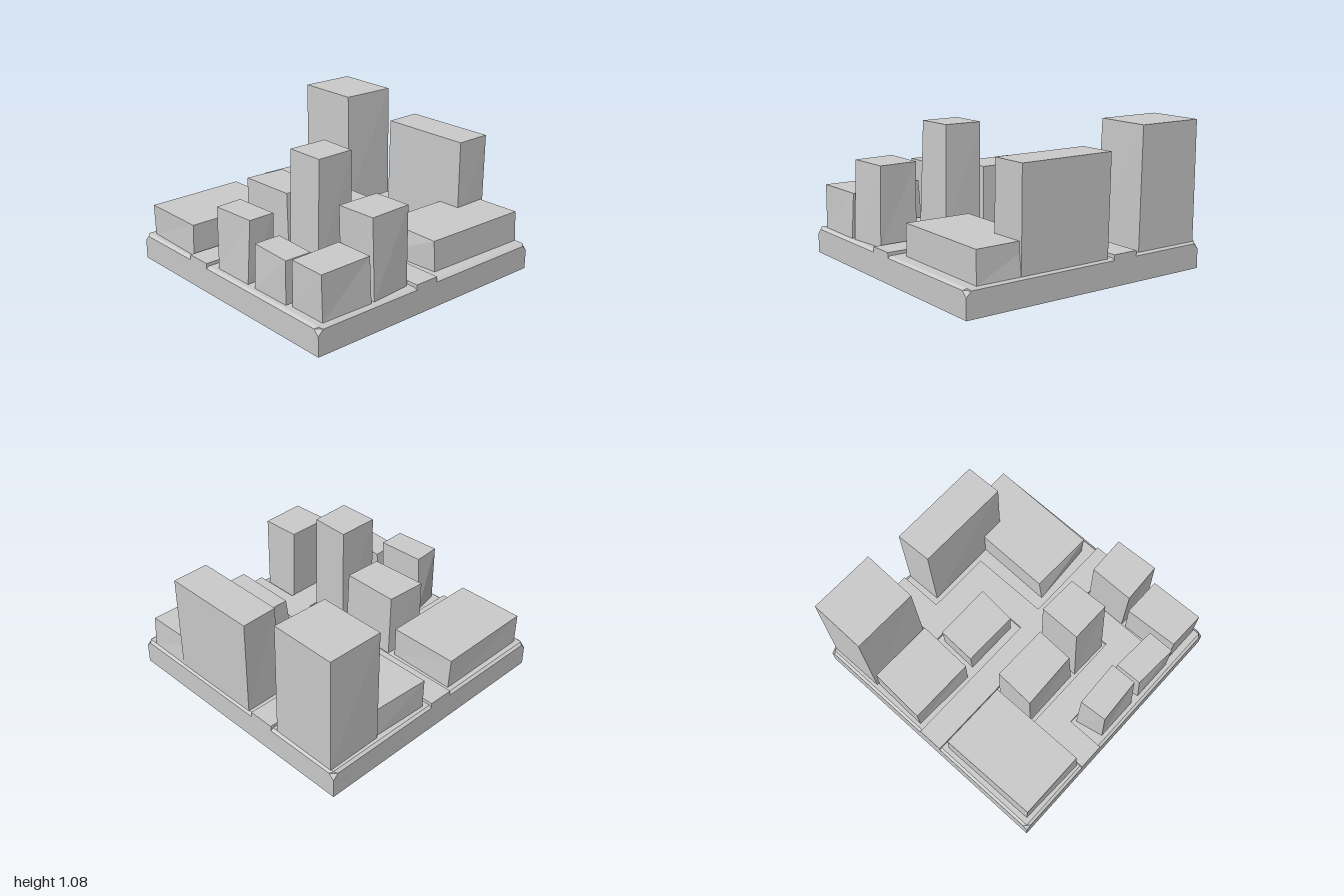
import * as THREE from 'three';

const WALL = 0.185, GROUND = 0.2, ROAD = 0.225; // heights
const INSET = 0.02, CUT = 0.04;                 // rim chamfer, corner cut
const material = new THREE.MeshStandardMaterial({ color: 0xcccccc, flatShading: true, side: THREE.DoubleSide });

// Flat-sided surface from convex polygons given as lists of [x, y, z]
function facets(polygons) {
  const positions = [];
  for (const p of polygons)
    for (let i = 1; i < p.length - 1; i++) positions.push(...p[0], ...p[i], ...p[i + 1]);
  const g = new THREE.BufferGeometry();
  g.setAttribute('position', new THREE.Float32BufferAttribute(positions, 3));
  g.computeVertexNormals();
  return g;
}

// Horizontal surface from an [x, z] outline
function level(outline, y) {
  const shape = new THREE.Shape(outline.map(([x, z]) => new THREE.Vector2(x, -z)));
  return new THREE.ShapeGeometry(shape).rotateX(-Math.PI / 2).translate(0, y, 0);
}

function add(parent, name, geometry) {
  const mesh = new THREE.Mesh(geometry, material);
  mesh.name = name;
  parent.add(mesh);
  return mesh;
}

// Crooked block: roof and foot corners are x, z pairs in the order
// back left, back right, front right, front left as seen from the front
function building(parent, name, height, roof, foot) {
  const g = new THREE.BoxGeometry(1, 1, 1);
  const p = g.attributes.position;
  for (let i = 0; i < p.count; i++) {
    const right = p.getX(i) > 0, front = p.getZ(i) > 0, top = p.getY(i) > 0;
    const corner = front ? (right ? 2 : 3) : (right ? 1 : 0);
    const quad = top ? roof : foot;
    p.setXYZ(i, quad[corner * 2], top ? height : GROUND, quad[corner * 2 + 1]);
  }
  // the foot stays open
  const index = Array.from(g.index.array);
  index.splice(18, 6);
  g.setIndex(index);
  const flat = g.toNonIndexed();
  flat.computeVertexNormals();
  add(parent, name, flat);
}

export function createModel() {
  const model = new THREE.Group();
  model.name = 'cityTile';

  // Outer walls of the hollow base, with cut upper corners
  const base = new THREE.Group();
  base.name = 'base';
  model.add(base);
  const a = 1 - CUT, b = 1 - INSET, low = WALL - CUT;
  for (let i = 0; i < 4; i++) {
    const wall = add(base, 'outerWall', facets([
      [[-1, 0, 1], [1, 0, 1], [1, low, 1], [a, WALL, 1], [-a, WALL, 1], [-1, low, 1]],
    ]));
    const corner = add(base, 'cutCorner', facets([
      [[1, low, 1], [1, WALL, a], [a, WALL, 1]],
      [[a, WALL, 1], [1, WALL, a], [b, GROUND, b]],
    ]));
    wall.rotation.y = corner.rotation.y = i * Math.PI / 2;
  }

  // Lowered plots between the roads, with a chamfer along the tile rim
  const plots = {
    backRightPlot: [[-1, -1], [-0.14, -1], [-0.14, 0.435], [-0.515, 0.435], [-0.515, -0.4], [-1, -0.4]],
    backLeftPlot: [[0.055, -1], [1, -1], [1, -0.4], [0.46, -0.4], [0.46, 0.1], [0.055, 0.1]],
    frontLeftPlot: [[0.66, -0.2], [1, -0.2], [1, 1], [0.055, 1], [0.055, 0.3], [0.66, 0.3]],
    frontRightPlot: [[-1, -0.2], [-0.715, -0.2], [-0.715, 0.635], [-0.14, 0.635], [-0.14, 1], [-1, 1]],
  };
  const clampTo = (limit, v) => Math.max(-limit, Math.min(limit, v));
  for (const [name, outline] of Object.entries(plots)) {
    const inner = outline.map(([x, z]) => [clampTo(b, x), clampTo(b, z)]);
    add(base, name, level(inner, GROUND));
    const strips = [];
    outline.forEach((p, i) => {
      const j = (i + 1) % outline.length, q = outline[j];
      for (const k of [0, 1]) {
        if (Math.abs(p[k]) !== 1 || p[k] !== q[k]) continue;
        // rim points stop short of the cut corners
        const rim = ([x, z]) => k === 0 ? [x, WALL, clampTo(a, z)] : [clampTo(a, x), WALL, z];
        const top = ([x, z]) => [x, GROUND, z];
        const strip = [rim(p), top(inner[i]), top(inner[j]), rim(q)];
        const forward = k === 0 ? q[1] > p[1] : q[0] < p[0];
        strips.push(forward === p[k] > 0 ? strip.reverse() : strip);
      }
    });
    add(base, 'rimChamfer', facets(strips));
  }

  // Raised road network and its kerbs
  const road = [
    [-0.14, 1], [0.055, 1], [0.055, 0.3], [0.66, 0.3], [0.66, -0.2], [1, -0.2], [1, -0.4],
    [0.46, -0.4], [0.46, 0.1], [0.055, 0.1], [0.055, -1], [-0.14, -1], [-0.14, 0.435],
    [-0.515, 0.435], [-0.515, -0.4], [-1, -0.4], [-1, -0.2], [-0.715, -0.2], [-0.715, 0.635], [-0.14, 0.635],
  ];
  add(base, 'road', level(road, ROAD));
  add(base, 'kerb', facets(road.map(([x, z], i) => {
    const [u, w] = road[(i + 1) % road.length];
    return [[x, WALL, z], [u, WALL, w], [u, ROAD, w], [x, ROAD, z]];
  })));

  const city = new THREE.Group();
  city.name = 'buildings';
  model.add(city);

  // Back right plot
  building(city, 'wideHall', 0.43,
    [-0.95, -0.94, -0.19, -0.95, -0.19, -0.425, -0.95, -0.42],
    [-0.945, -0.94, -0.18, -0.945, -0.19, -0.425, -0.96, -0.415]);
  building(city, 'officeBlock', 0.68,
    [-0.48, -0.4, -0.175, -0.385, -0.18, 0.045, -0.465, 0.035],
    [-0.485, -0.395, -0.17, -0.38, -0.17, 0.055, -0.48, 0.07]);
  building(city, 'slimTower', 1.02,
    [-0.465, 0.085, -0.16, 0.085, -0.17, 0.375, -0.465, 0.385],
    [-0.49, 0.1, -0.165, 0.09, -0.17, 0.385, -0.495, 0.405]);

  // Back left plot
  building(city, 'lowBlock', 0.43,
    [0.1, -0.96, 0.535, -0.94, 0.53, -0.435, 0.1, -0.45],
    [0.1, -0.955, 0.54, -0.94, 0.535, -0.435, 0.09, -0.455]);
  building(city, 'cornerTower', 1.08,
    [0.56, -0.965, 0.985, -0.96, 0.98, -0.455, 0.555, -0.465],
    [0.55, -0.955, 0.985, -0.96, 0.98, -0.44, 0.54, -0.44]);
  building(city, 'smallBlock', 0.4,
    [0.12, -0.38, 0.42, -0.37, 0.42, 0.075, 0.115, 0.05],
    [0.115, -0.375, 0.41, -0.365, 0.415, 0.07, 0.115, 0.05]);

  // Front left plot
  building(city, 'longTower', 0.93,
    [0.715, -0.155, 0.99, -0.165, 0.99, 0.57, 0.71, 0.575],
    [0.7, -0.15, 0.985, -0.155, 0.985, 0.57, 0.705, 0.58]);
  building(city, 'broadBlock', 0.43,
    [0.135, 0.395, 0.96, 0.405, 0.97, 0.905, 0.125, 0.895],
    [0.105, 0.395, 0.985, 0.41, 0.98, 0.91, 0.135, 0.9]);

  // Front right plot
  building(city, 'narrowHouse', 0.655,
    [-0.94, -0.13, -0.735, -0.145, -0.72, 0.21, -0.92, 0.215],
    [-0.95, -0.12, -0.74, -0.165, -0.72, 0.2, -0.95, 0.215]);
  building(city, 'shortHouse', 0.515,
    [-0.93, 0.28, -0.725, 0.275, -0.745, 0.625, -0.95, 0.625],
    [-0.95, 0.29, -0.74, 0.245, -0.745, 0.62, -0.95, 0.62]);
  building(city, 'cornerHouse', 0.53,
    [-0.93, 0.665, -0.52, 0.645, -0.52, 0.945, -0.935, 0.955],
    [-0.93, 0.665, -0.525, 0.65, -0.52, 0.965, -0.93, 0.96]);
  building(city, 'roadsideTower', 0.78,
    [-0.505, 0.63, -0.17, 0.63, -0.16, 0.92, -0.49, 0.935],
    [-0.495, 0.64, -0.165, 0.64, -0.165, 0.93, -0.49, 0.96]);

  return model;
}
